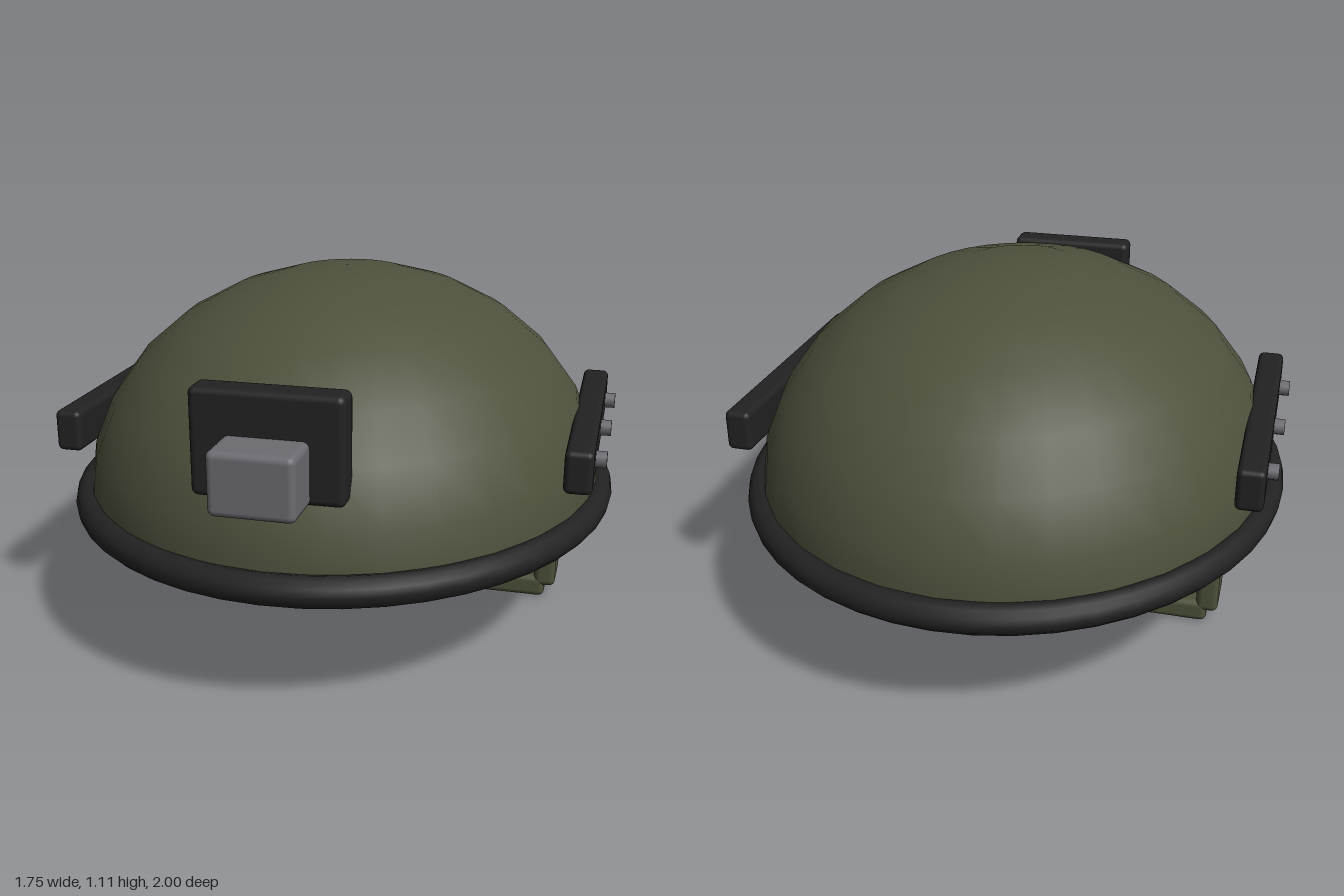
import * as THREE from 'three';
import { RoundedBoxGeometry } from 'three/addons/geometries/RoundedBoxGeometry.js';

const mat = (name, color) => {
  const m = new THREE.MeshStandardMaterial({ color });
  m.name = name;
  return m;
};

export function createModel() {
  const olive = mat('olive shell', 0x4d513c);
  const strapGreen = mat('strap green', 0x4b5039);
  const black = mat('black rubber', 0x222222);
  const grey = mat('grey metal', 0x6c6b71);
  const lining = mat('dark lining', 0x2c2d23);

  const group = new THREE.Group();
  group.name = 'helmet';
  const CZ = -0.015, BASE = 0.41;

  const add = (name, geometry, material, x, y, z) => {
    const mesh = new THREE.Mesh(geometry, material);
    mesh.name = name;
    mesh.position.set(x, y, z);
    group.add(mesh);
    return mesh;
  };
  // Rounded box given by its extents
  const box = (name, material, [x0, x1], [y0, y1], [z0, z1], r) =>
    add(name, new RoundedBoxGeometry(x1 - x0, y1 - y0, z1 - z0, 3, r), material,
      (x0 + x1) / 2, (y0 + y1) / 2, (z0 + z1) / 2);

  // Half-ellipsoid shell and the flat lining that closes it
  const dome = new THREE.SphereGeometry(1, 32, 7, 0, Math.PI * 2, 0, Math.PI / 2);
  add('shell', dome, olive, 0, BASE, CZ).scale.set(0.83, 0.7, 0.93);
  const disc = new THREE.CircleGeometry(1, 32).rotateX(Math.PI / 2);
  add('lining', disc, lining, 0, BASE, CZ).scale.set(0.83, 1, 0.93);

  // Rubber edge trim
  const trim = new THREE.TorusGeometry(1, 0.048, 12, 48).rotateX(Math.PI / 2);
  add('rimTrim', trim, black, 0, BASE, CZ).scale.set(0.835, 0.94, 0.94);

  // Front mount
  box('mountPlate', black, [-0.215, 0.215], [0.63, 0.935], [0.77, 0.865], 0.02);
  box('mountBlock', grey, [-0.12, 0.12], [0.63, 0.81], [0.82, 1.0], 0.02);

  // Side rails with bolts, and chin strap uprights
  for (const s of [1, -1]) {
    const side = s > 0 ? 'left' : 'right';
    const span = (a, b) => (s > 0 ? [a, b] : [-b, -a]);
    box(side + 'Rail', black, span(0.745, 0.828), [0.565, 0.695], [-0.475, 0.445], 0.018);
    for (const z of [-0.325, CZ, 0.293]) {
      const bolt = new THREE.CylinderGeometry(0.025, 0.025, 0.08, 10).rotateZ(Math.PI / 2);
      add(side + 'RailBolt', bolt, grey, s * 0.82, 0.628, z);
    }
    box(side + 'StrapUpright', strapGreen, span(0.64, 0.71), [0.04, 0.44], [-0.225, -0.045], 0.02);
  }

  // Chin strap bar
  box('chinBar', strapGreen, [-0.675, 0.675], [0, 0.072], [-0.225, -0.045], 0.02);

  return group;
}
